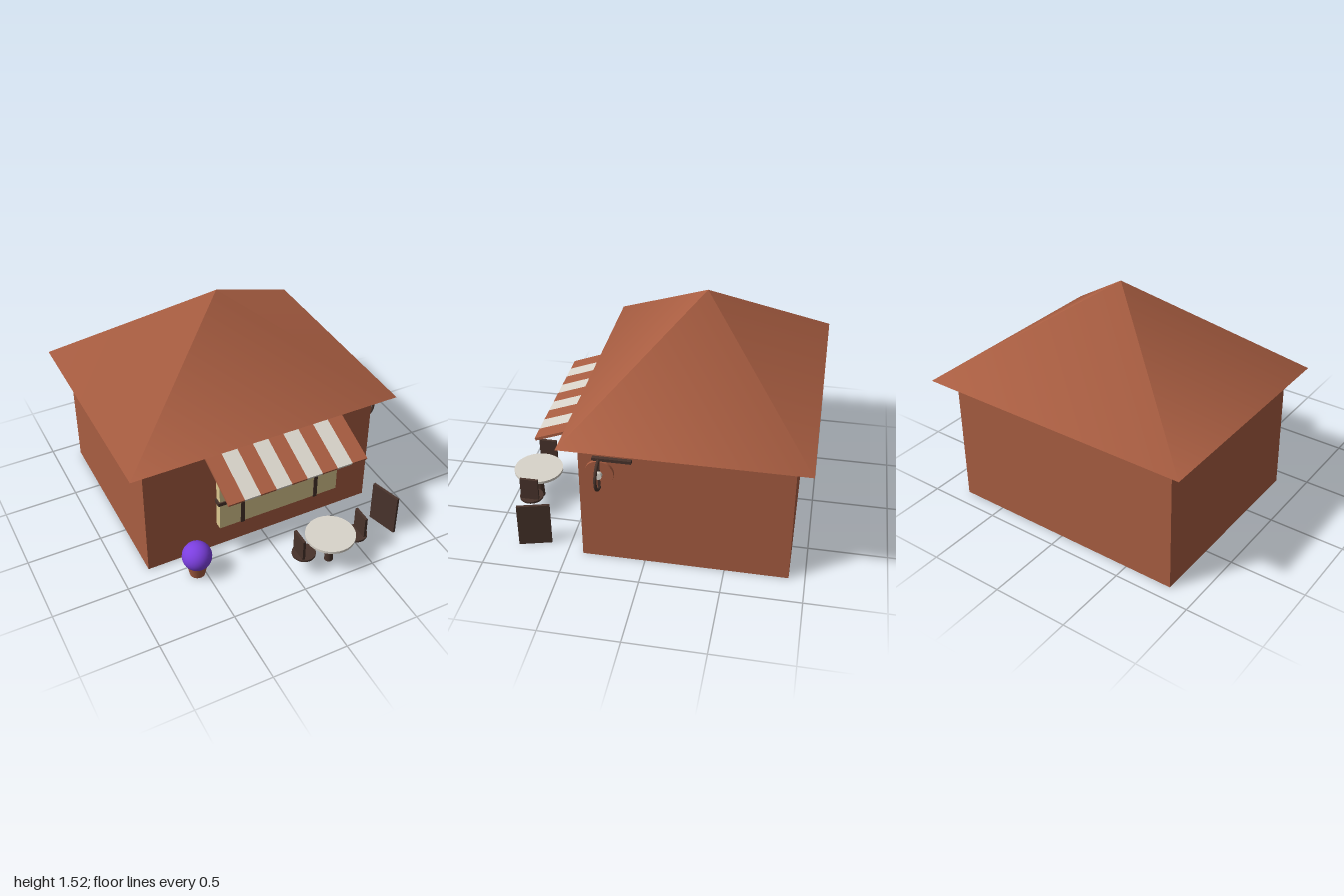
import * as THREE from 'three';

const paint = (name, color) => {
  const m = new THREE.MeshStandardMaterial({ color });
  m.name = name;
  return m;
};

export function createModel() {
  const terracotta = paint('terracotta', 0xa85d41);
  const cream = paint('cream glass', 0xdcc890);
  const white = paint('off white', 0xd9d4ca);
  const dark = paint('dark wood', 0x48332b);
  const purple = paint('purple', 0x7c3fe0);

  const root = new THREE.Group();
  root.name = 'cafe';
  const group = (name) => {
    const g = new THREE.Group();
    g.name = name;
    root.add(g);
    return g;
  };
  const add = (parent, name, geometry, material, x, y, z) => {
    const mesh = new THREE.Mesh(geometry, material);
    mesh.name = name;
    mesh.position.set(x, y, z);
    parent.add(mesh);
    return mesh;
  };
  const box = (w, h, d) => new THREE.BoxGeometry(w, h, d);
  const disc = (top, bottom, h) => new THREE.CylinderGeometry(top, bottom, h, 32);

  // Walls and pyramid roof
  add(root, 'walls', box(1.62, 0.87, 1.3), terracotta, -0.01, 0.435, -0.25);
  const roof = new THREE.ConeGeometry(Math.SQRT1_2, 0.65, 4);
  roof.rotateY(Math.PI / 4).scale(1.85, 1, 1.5);
  add(root, 'roof', roof, terracotta, -0.005, 1.195, -0.25);

  // Shop window with its bars
  const shopWindow = group('window');
  add(shopWindow, 'pane', box(0.87, 0.435, 0.05), cream, 0.105, 0.412, 0.425);
  for (const x of [-0.167, 0.375])
    add(shopWindow, 'verticalBar', box(0.027, 0.445, 0.056), dark, x, 0.412, 0.428);
  add(shopWindow, 'crossBar', box(0.895, 0.026, 0.056), dark, 0.105, 0.408, 0.43);

  // Striped sloping awning
  const awning = group('awning');
  awning.position.set(0.075, 0.735, 0.57);
  awning.rotation.x = 0.365;
  const stripe = 0.97 / 9;
  for (let i = 0; i < 9; i++)
    add(awning, 'stripe', box(stripe, 0.018, 0.365), i % 2 ? white : terracotta, (i - 4) * stripe, 0, 0);

  // Potted bush
  const plant = group('plant');
  plant.position.set(-0.55, 0, 0.567);
  add(plant, 'pot', disc(0.073, 0.05, 0.11), terracotta, 0, 0.055, 0);
  add(plant, 'bush', new THREE.SphereGeometry(0.097, 32, 20), purple, 0, 0.155, 0);

  // Round table
  const table = group('table');
  table.position.set(0.267, 0, 0.836);
  add(table, 'tableTop', disc(0.163, 0.163, 0.018), white, 0, 0.218, 0);
  add(table, 'tableLeg', disc(0.02, 0.029, 0.21), dark, 0, 0.105, 0);

  // Two floating seats, backs facing outwards
  for (const side of [-1, 1]) {
    const chair = group('chair');
    chair.position.set(0.27 + side * 0.193, 0, 0.832);
    add(chair, 'seat', disc(0.077, 0.077, 0.014), dark, 0, 0.138, 0);
    add(chair, 'backrest', box(0.018, 0.16, 0.12), dark, side * 0.034, 0.218, 0);
  }

  // Standing board
  const board = add(root, 'board', box(0.018, 0.3, 0.21), dark, 0.756, 0.15, 0.725);
  board.rotation.y = 0.27;

  // Wall lamp on the left side
  const lamp = group('wallLamp');
  lamp.position.set(0.8, 0.655, 0.27);
  add(lamp, 'rail', box(0.024, 0.02, 0.24), dark, 0.012, 0.107, -0.08);
  const plate = disc(0.09, 0.09, 0.02).rotateZ(Math.PI / 2);
  add(lamp, 'plate', plate, terracotta, 0.01, 0, 0);
  const hoop = new THREE.TorusGeometry(0.1, 0.01, 10, 32, Math.PI).rotateZ(-Math.PI / 2);
  add(lamp, 'hoop', hoop, dark, 0.012, 0, 0);
  add(lamp, 'stem', box(0.018, 0.2, 0.016), dark, 0.014, 0, 0);
  const bulb = disc(0.023, 0.023, 0.03).rotateZ(Math.PI / 2);
  add(lamp, 'bulb', bulb, white, 0.032, 0, 0);

  return root;
}
